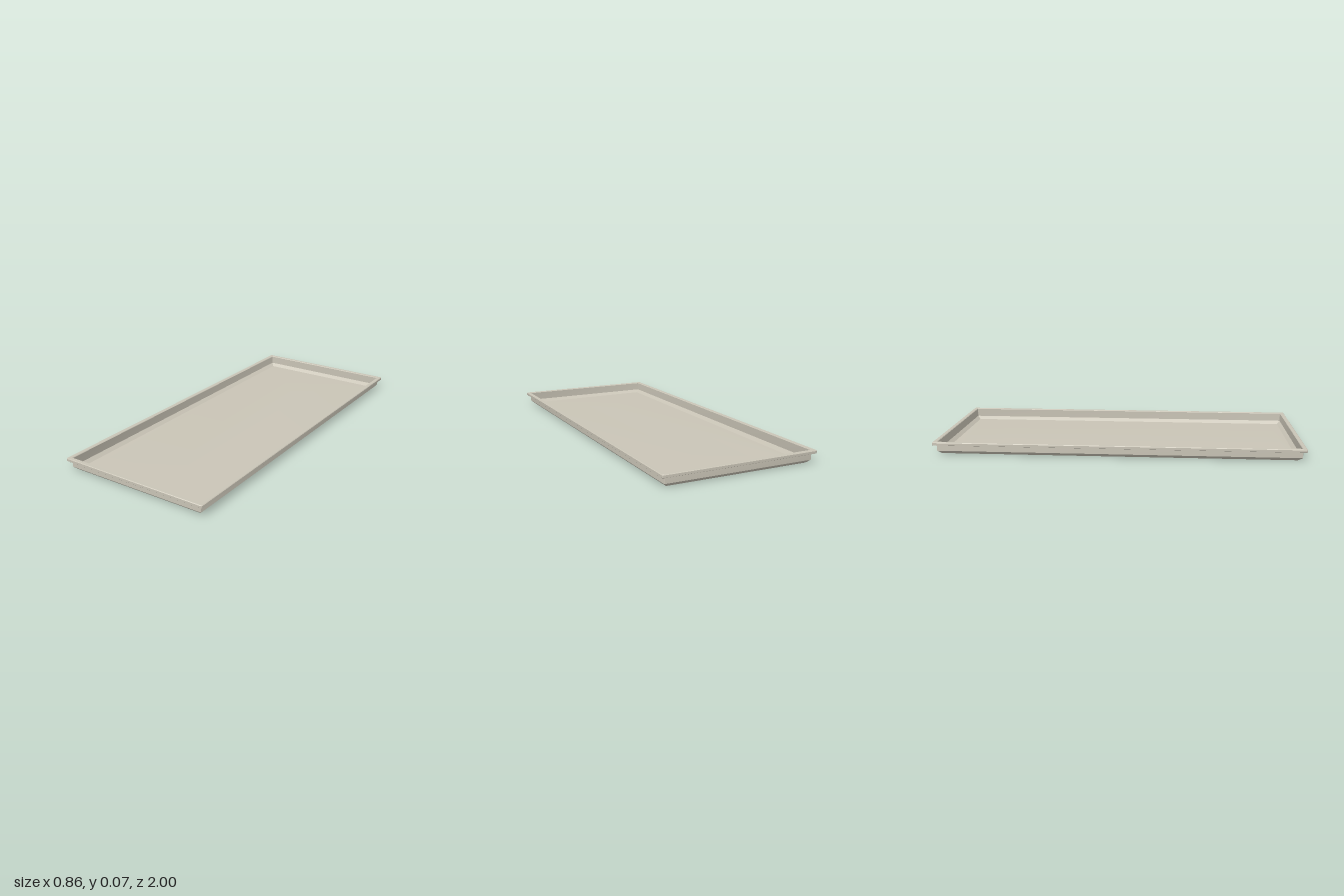
import * as THREE from 'three';
import { toCreasedNormals } from 'three/addons/utils/BufferGeometryUtils.js';

const HALF_X = 0.43, HALF_Z = 1.0, CORNER_STEPS = 3;

// One rounded-rectangle loop, inset from the rim's outer edge
function ring([inset, y, radius]) {
  const hx = HALF_X - inset, hz = HALF_Z - inset, points = [];
  for (let corner = 0; corner < 4; corner++) {
    const sx = corner === 0 || corner === 3 ? 1 : -1;
    const sz = corner < 2 ? -1 : 1;
    for (let s = 0; s <= CORNER_STEPS; s++) {
      const a = (corner + s / CORNER_STEPS) * Math.PI / 2;
      points.push(new THREE.Vector3(
        sx * (hx - radius) + radius * Math.cos(a), y,
        sz * (hz - radius) - radius * Math.sin(a)));
    }
  }
  return points;
}

// Skin a sequence of loops, leaving out collapsed triangles
function loft(profile) {
  const rings = profile.map(ring), positions = [];
  const addTriangle = (a, b, c) => {
    if (new THREE.Triangle(a, b, c).getArea() < 1e-9) return;
    for (const p of [a, b, c]) positions.push(p.x, p.y, p.z);
  };
  for (let i = 0; i < rings.length - 1; i++) {
    const lower = rings[i], upper = rings[i + 1], n = lower.length;
    for (let j = 0; j < n; j++) {
      const k = (j + 1) % n;
      addTriangle(lower[j], lower[k], upper[k]);
      addTriangle(lower[j], upper[k], upper[j]);
    }
  }
  const geometry = new THREE.BufferGeometry();
  geometry.setAttribute('position', new THREE.Float32BufferAttribute(positions, 3));
  return toCreasedNormals(geometry, 0.4);
}

export function createModel() {
  const group = new THREE.Group();
  group.name = 'tray';
  const enamel = new THREE.MeshStandardMaterial({ color: 0xc9c4b6 });
  enamel.name = 'warm grey';

  const addPart = (name, profile) => {
    const mesh = new THREE.Mesh(loft(profile), enamel);
    mesh.name = name;
    group.add(mesh);
  };

  // Each profile point is [inset, height, corner radius]
  addPart('underside', [
    [0.43, 0.002, 0], [0.09, 0.002, 0], [0.043, 0, 0.002],
  ]);
  addPart('outerWall', [
    [0.043, 0, 0.002], [0.036, 0.004, 0.002], [0.02, 0.019, 0.004], [0.02, 0.054, 0.004],
  ]);
  addPart('rim', [
    [0.02, 0.054, 0.004], [0.001, 0.054, 0.007], [0, 0.055, 0.008],
    [0, 0.067, 0.008], [0.003, 0.07, 0.006], [0.021, 0.07, 0.002],
  ]);
  addPart('innerWall', [
    [0.021, 0.07, 0.002], [0.024, 0.067, 0.002], [0.024, 0.021, 0.002], [0.043, 0.004, 0],
  ]);
  // Floor rises very slightly towards the middle
  addPart('floor', [
    [0.043, 0.004, 0], [0.09, 0.006, 0], [0.43, 0.006, 0],
  ]);
  return group;
}
